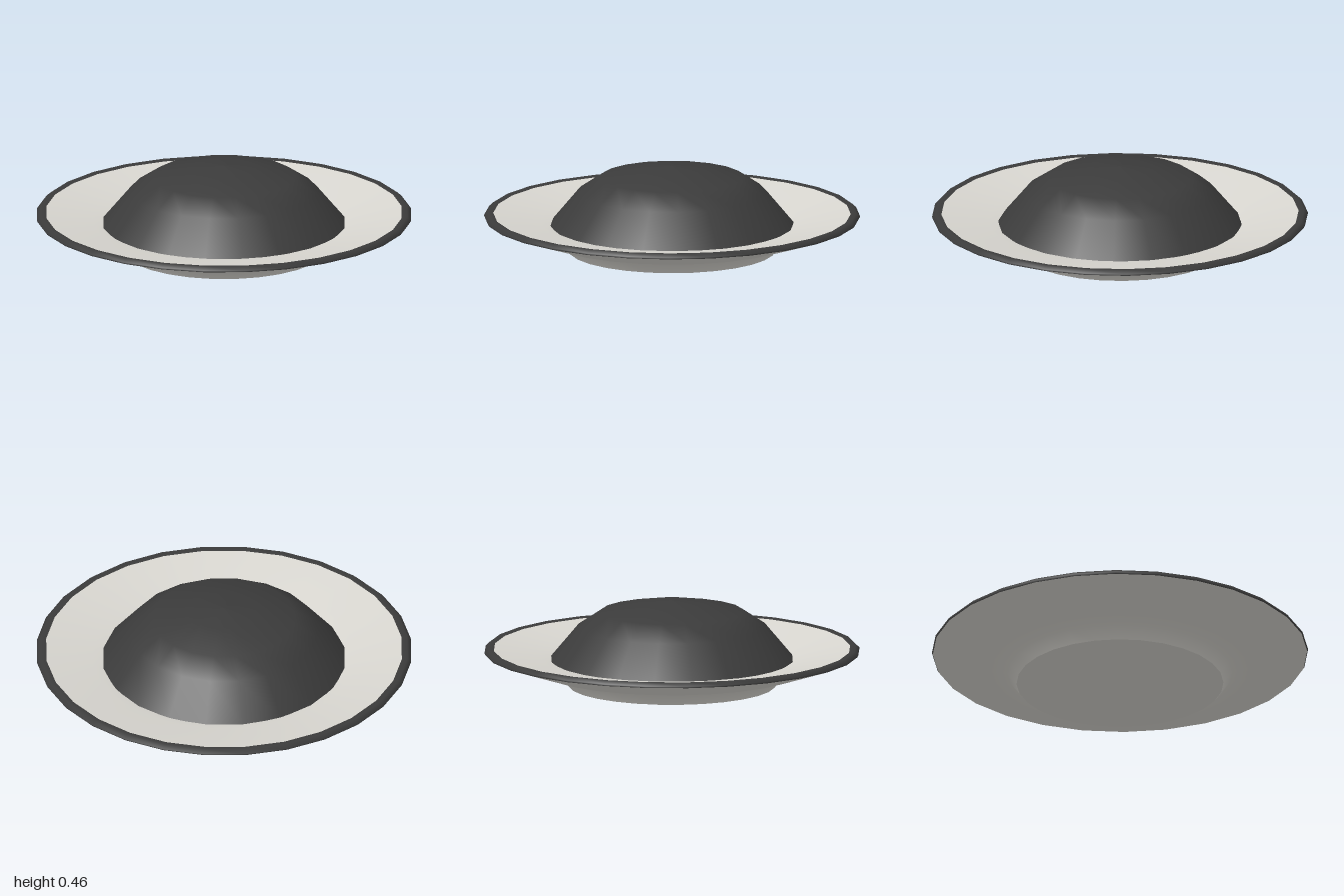
import * as THREE from 'three';

const porcelain = new THREE.MeshStandardMaterial({ color: 0xd8d6d0 });
porcelain.name = 'warm white';
const dark = new THREE.MeshStandardMaterial({ color: 0x3b3b3b });
dark.name = 'charcoal';

// Turned part from a profile of [radius, height] points
function turned(name, profile, sides, material) {
  const points = profile.map(([r, y]) => new THREE.Vector2(r, y));
  const mesh = new THREE.Mesh(new THREE.LatheGeometry(points, sides), material);
  mesh.name = name;
  return mesh;
}

export function createModel() {
  const model = new THREE.Group();
  model.name = 'plateWithMound';

  const plate = new THREE.Group();
  plate.name = 'plate';
  plate.add(
    // Flat foot, kept separate for a sharp lower edge
    turned('foot', [[0, 0], [0.55, 0]], 28, porcelain),
    // Flared underside
    turned('underside', [[0.55, 0], [0.6, 0.065], [0.71, 0.083], [0.995, 0.177]], 28, porcelain),
    // Dark band around the edge
    turned('rim', [[0.995, 0.177], [1, 0.187], [0.98, 0.206], [0.95, 0.2]], 28, dark),
    // Shallow dish
    turned('dish', [[0.95, 0.2], [0.7, 0.155], [0.6, 0.13], [0.5, 0.1], [0, 0.09]], 28, porcelain),
  );

  // Domed serving in the middle
  const mound = turned('mound',
    [[0.655, 0.134], [0.5, 0.32], [0.38, 0.4], [0.17, 0.443], [0, 0.46]], 20, dark);

  model.add(plate, mound);
  return model;
}
